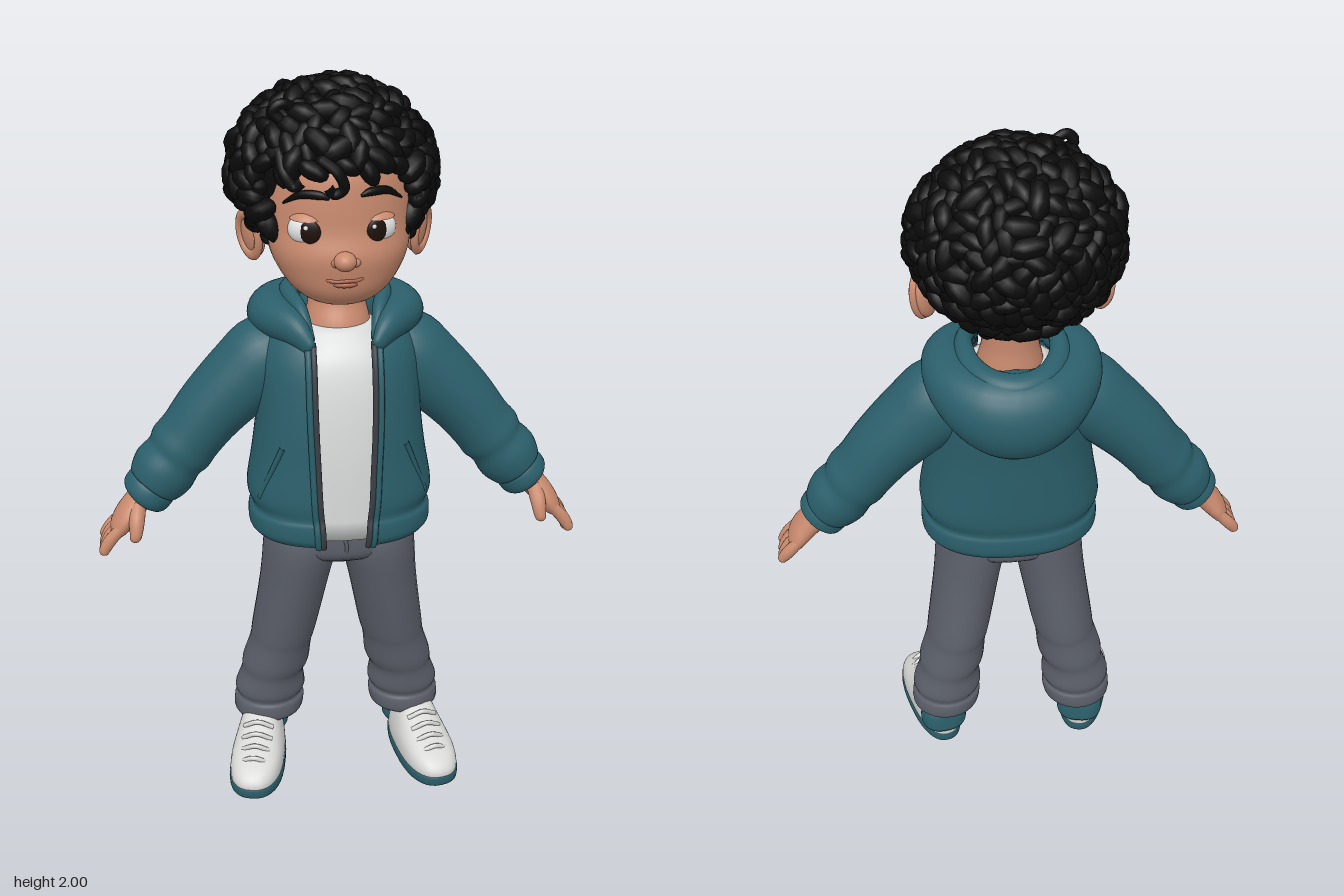
import * as THREE from 'three';
import { mergeGeometries } from 'three/addons/utils/BufferGeometryUtils.js';

const material = (name, color, side = THREE.FrontSide) => {
  const m = new THREE.MeshStandardMaterial({ color, side });
  m.name = name;
  return m;
};
const V = (x, y, z) => new THREE.Vector3(x, y, z);
const spow = (v, e) => Math.sign(v) * Math.pow(Math.abs(v), e);

// Skin through rings [x, y, z, ra, rb, gap]. Flat rings are horizontal (listed upwards);
// others stand square to the path, with ref giving the direction of rb.
function loft(rings, { flat = false, e = 1, seg = 28, sub = 4, ref = V(0, 0, 1) } = {}) {
  const curve = (a, b) => new THREE.CatmullRomCurve3(rings.map(r => V(r[a], r[a + 1], r[b] || 0)), false, 'catmullrom');
  const path = curve(0, 2), radii = curve(3, 5);
  const open = rings[0][5] !== undefined, n = (rings.length - 1) * sub, cols = open ? seg + 1 : seg;
  const pos = [], idx = [];
  for (let i = 0; i <= n; i++) {
    const c = path.getPoint(i / n), r = radii.getPoint(i / n);
    const t = path.getTangent(i / n);
    const u = flat ? V(1, 0, 0) : t.clone().cross(ref).normalize();
    const v = flat ? V(0, 0, 1) : u.clone().cross(t).normalize();
    const t0 = open ? Math.asin(Math.pow(Math.min(1, r.z / r.x), 1 / e)) : 0;
    for (let j = 0; j < cols; j++) {
      const a = t0 + (2 * Math.PI - 2 * t0) * j / seg;
      const p = c.clone().addScaledVector(u, r.x * spow(Math.sin(a), e)).addScaledVector(v, r.y * spow(Math.cos(a), e));
      pos.push(p.x, p.y, p.z);
    }
  }
  for (let i = 0; i < n; i++) for (let j = 0; j < seg; j++) {
    const k = (j + 1) % cols, a = i * cols + j, b = i * cols + k;
    idx.push(a, b, b + cols, a, b + cols, a + cols);
  }
  if (!open) for (const end of [0, n]) {
    const c = path.getPoint(end / n), m = pos.length / 3;
    pos.push(c.x, c.y, c.z);
    for (let j = 0; j < seg; j++) {
      const a = end * cols + j, b = end * cols + (j + 1) % cols;
      end ? idx.push(a, b, m) : idx.push(b, a, m);
    }
  }
  const g = new THREE.BufferGeometry();
  g.setAttribute('position', new THREE.Float32BufferAttribute(pos, 3));
  g.setIndex(idx);
  g.computeVertexNormals();
  return g;
}

export function createModel() {
  const model = new THREE.Group();
  model.name = 'boy';
  const skin = material('skin', 0xc98a6e), black = material('hair black', 0x0b0b0c);
  const teal = material('jacket teal', 0x2b5f6b, THREE.DoubleSide), white = material('shirt white', 0xdadcdc);
  const grey = material('trouser grey', 0x5c606a), shoeWhite = material('shoe white', 0xd8d9d6);
  const eyeWhite = material('eye white', 0xeeeeee), iris = material('iris brown', 0x1d100b);
  const lip = material('lip', 0xa9644f), metal = material('zip dark grey', 0x3a3e43);

  const add = (name, geo, mat, parent = model) => {
    const m = new THREE.Mesh(geo, mat);
    m.name = name;
    parent.add(m);
    return m;
  };
  const tube = (name, pts, r, mat, parent) => add(name,
    new THREE.TubeGeometry(new THREE.CatmullRomCurve3(pts.map(p => V(...p))), 24, r, 8), mat, parent);
  const ball = (name, p, s, mat, parent) => {
    const m = add(name, new THREE.SphereGeometry(1, 24, 16), mat, parent);
    m.position.set(...p);
    m.scale.set(...s);
    return m;
  };

  // Head and neck
  add('head', loft([[0, 1.43, .07, .03, .04], [0, 1.445, .07, .085, .095], [0, 1.48, .07, .13, .127],
    [0, 1.53, .055, .165, .155], [0, 1.58, .043, .184, .172], [0, 1.64, .02, .19, .18], [0, 1.72, .015, .185, .18],
    [0, 1.8, 0, .17, .18], [0, 1.88, -.02, .12, .13], [0, 1.92, -.02, .03, .03]], { flat: true, e: .95, seg: 40 }), skin);
  add('neck', loft([[0, 1.28, .02, .1, .1], [0, 1.36, .015, .088, .092], [0, 1.42, .005, .076, .076],
    [0, 1.5, 0, .075, .075]], { flat: true }), skin);
  ball('nose', [-.003, 1.576, .22], [.029, .025, .031], skin);
  tube('mouth', [[-.06, 1.527, .192], [-.03, 1.52, .208], [0, 1.522, .213], [.03, 1.522, .208], [.06, 1.532, .19]], .005, lip);
  ball('lowerLip', [0, 1.51, .2], [.032, .009, .014], lip);
  for (const s of [1, -1]) {
    ball('nostril', [s * .024, 1.57, .208], [.014, .013, .016], skin);
    const ear = new THREE.Group();
    ear.name = 'ear';
    ear.position.set(s * .218, 1.587, -.025);
    ear.rotation.set(-.15, -s * .55, -s * .18);
    model.add(ear);
    ball('earShell', [0, 0, 0], [.022, .064, .044], skin, ear);
    const rim = add('earRim', new THREE.TorusGeometry(.04, .011, 10, 28), skin, ear);
    rim.rotation.y = Math.PI / 2;
    rim.scale.set(1, 1.4, 1);
    rim.position.x = s * .013;

    const eye = new THREE.Group();
    eye.name = 'eye';
    eye.position.set(s * .088 - .003, 1.645, .152);
    eye.rotation.y = s * .25;
    model.add(eye);
    ball('eyeball', [0, 0, 0], [.051, .044, .037], eyeWhite, eye);
    ball('iris', [-s * .012, 0, .032], [.027, .03, .008], iris, eye);
    ball('eyeGlint', [-s * .012 - .01, .012, .039], [.006, .006, .003], eyeWhite, eye);
    const lid = add('upperLid', new THREE.SphereGeometry(1, 24, 8, 0, Math.PI * 2, 0, Math.PI * .29), skin, eye);
    lid.scale.set(.057, .05, .045);
    lid.rotation.x = .12;
    const brow = add('eyebrow', loft([[s * .04, 1.737, .195, .004, .004], [s * .065, 1.745, .188, .011, .009],
      [s * .11, 1.742, .165, .01, .009], [s * .15, 1.715, .133, .003, .004]], { seg: 10, ref: V(0, 0, 1) }), black);
    brow.position.y = s > 0 ? 0 : -.006;
  }

  // Curly hair: a scalp covered in small clumps above the hairline
  ball('scalp', [-.01, 1.765, -.05], [.235, .2, .2], black);
  let seed = 7;
  const rand = () => (seed = seed * 16807 % 2147483647) / 2147483647;
  const curls = [], dummy = new THREE.Object3D(), count = 400;
  const curl = (p, n, sx, sy, sz) => {
    dummy.position.copy(p);
    dummy.lookAt(p.clone().add(n));
    dummy.rotateZ(rand() * Math.PI);
    dummy.scale.set(sx, sy, sz);
    dummy.updateMatrix();
    curls.push(new THREE.SphereGeometry(1, 10, 7).applyMatrix4(dummy.matrix));
  };
  for (let i = 0; i < count; i++) {
    const h = 1 - 2 * (i + .5) / count, a = i * 2.39996, w = Math.sqrt(1 - h * h);
    const n = V(w * Math.cos(a), h, w * Math.sin(a));
    const p = V(n.x * .25 - .01, 1.742 + n.y * .225, n.z * .218 - .033);
    const line = p.z > .1 ? 1.785 : p.z > .03 ? 1.62 : p.z > -.075 ? 1.69 : 1.53;
    if (p.y < line) continue;
    const r = .026 + rand() * .012;
    curl(p.addScaledVector(n, (rand() - .5) * .018), n, r * 1.5, r * .85, r);
  }
  for (const s of [1, -1]) for (let k = 0; k < 5; k++)
    curl(V(s * (.183 + k * .006), 1.6 + k * .035, .05 + k * .012), V(s, 0, .3), .026, .02, .022);
  add('curlyHair', mergeGeometries(curls), black);
  tube('foreheadCurl', [[-.06, 1.83, .19], [-.02, 1.8, .215], [-.005, 1.76, .212], [-.03, 1.745, .205], [-.045, 1.765, .208]], .014, black);
  tube('sideCurl', [[-.16, 1.84, .13], [-.15, 1.79, .17], [-.125, 1.76, .178], [-.105, 1.775, .185]], .015, black);
  tube('looseCurl', [[-.09, 1.92, .08], [-.15, 1.95, .1], [-.17, 1.93, .1], [-.15, 1.91, .1]], .014, black);

  // Shirt
  add('shirt', loft([[0, .79, .05, .2, .172], [0, 1, .05, .2, .172], [0, 1.15, .045, .19, .165], [0, 1.25, .035, .18, .155],
    [0, 1.31, .03, .14, .132], [0, 1.36, .018, .09, .093]], { flat: true, e: .85 }), white);

  // Jacket body, open at the front, with a zip along both edges
  const body = [[0, .775, .055, .235, .178, .06], [0, .795, .055, .25, .188, .062], [0, .835, .055, .25, .188, .064],
    [0, .855, .055, .24, .183, .066], [0, .9, .052, .254, .19, .07], [0, 1, .047, .238, .19, .074], [0, 1.1, .043, .225, .19, .078],
    [0, 1.2, .033, .22, .187, .08], [0, 1.28, .025, .215, .175, .08], [0, 1.34, .015, .19, .155, .08], [0, 1.39, .005, .14, .125, .085]];
  add('jacketBody', loft(body, { flat: true, e: .85, seg: 56 }), teal);
  for (const s of [1, -1]) {
    const edge = body.slice(0, 10).map(([, y, cz, rx, rz, gap]) => {
      const sin = Math.pow(gap / rx, 1 / .85);
      return [s * gap, y, cz + rz * Math.pow(1 - sin * sin, .425)];
    });
    tube('zip', edge, .0085, metal);
    tube('zipFacing', edge.map(([x, y, z]) => [x + s * .014, y, z]), .009, teal);
    tube('pocketEdge', [[s * .165, 1.06, .192], [s * .195, .98, .172], [s * .225, .9, .15]], .008, teal);

    // Sleeve and cuff
    add('sleeve', loft([[s * .1, 1.285, 0, .07, .09], [s * .18, 1.255, 0, .115, .112], [s * .25, 1.2, 0, .108, .112],
      [s * .34, 1.11, .002, .097, .105], [s * .4, 1.035, .005, .09, .1], [s * .43, .998, .008, .092, .098],
      [s * .45, .972, .01, .084, .093], [s * .48, .935, .014, .09, .094], [s * .508, .9, .016, .078, .084],
      [s * .516, .89, .017, .066, .072]]), teal);
    add('cuff', loft([[s * .505, .903, .017, .06, .068], [s * .515, .89, .018, .072, .077], [s * .535, .865, .02, .07, .076],
      [s * .543, .855, .02, .055, .06]]), teal);

    // Hand
    add('palm', loft([[s * .52, .885, .02, .042, .046], [s * .555, .85, .025, .036, .05], [s * .588, .812, .034, .033, .064],
      [s * .612, .778, .035, .026, .062], [s * .622, .762, .035, .012, .05]]), skin);
    for (let k = 0; k < 4; k++) {
      const z = .083 - k * .032, d = [.01, 0, .003, .018][k];
      add('finger', loft([[s * .6, .795, z, .015, .015], [s * .632, .762, z, .018, .017], [s * .65, .73 + d / 2, z + .003, .016, .015],
        [s * .655, .71 + d, z + .003, .012, .012], [s * .656, .704 + d, z + .003, .003, .003]], { seg: 12 }), skin);
    }
    add('thumb', loft([[s * .555, .85, .055, .022, .022], [s * .56, .82, .09, .022, .022], [s * .563, .79, .108, .018, .018],
      [s * .567, .77, .113, .014, .014], [s * .568, .762, .114, .003, .003]], { seg: 12, ref: V(1, 0, 0) }), skin);
  }

  // Hood folded down behind the neck, and its rolled rim
  const wrap = half => [...half, ...half.slice(0, -1).reverse().map(([x, ...r]) => [-x, ...r])];
  add('hood', loft(wrap([[.085, 1.325, .172, .012, .02], [.125, 1.365, .118, .038, .045], [.17, 1.372, .02, .062, .058],
    [.155, 1.35, -.09, .075, .078], [.085, 1.318, -.155, .092, .11], [0, 1.3, -.17, .1, .125]]), { ref: V(0, 1, 0), sub: 6 }), teal);
  add('hoodRim', loft(wrap([[.085, 1.345, .155, .012, .014], [.105, 1.4, .085, .02, .026], [.125, 1.418, 0, .024, .026],
    [.115, 1.41, -.09, .03, .03], [.07, 1.4, -.16, .035, .034], [0, 1.395, -.185, .038, .035]]), { ref: V(0, 1, 0), sub: 6 }), teal);

  // Trousers
  add('trouserSeat', loft([[0, .685, .055, .1, .09], [0, .715, .058, .19, .13], [0, .76, .06, .213, .138], [0, .85, .055, .21, .14]],
    { flat: true, e: .9 }), grey);
  tube('trouserFly', [[0, .79, .196], [.006, .75, .194], [0, .715, .183]], .006, grey);
  for (const s of [1, -1]) {
    add('trouserLeg', loft([[.203, .125, -.01, .085, .085], [.203, .14, -.01, .1, .1], [.2, .175, -.01, .102, .1], [.2, .19, -.01, .094, .094],
      [.197, .215, -.008, .102, .102], [.19, .27, -.002, .09, .102], [.18, .31, .003, .096, .11], [.165, .38, .012, .089, .113],
      [.155, .43, .018, .092, .12], [.126, .6, .045, .097, .128], [.108, .72, .058, .105, .136], [.105, .8, .055, .1, .13]]
      .map(([x, ...r]) => [x * s, ...r]), { flat: true }), grey);

    // Shoe, built toe forward then turned outwards
    const shoe = new THREE.Group();
    shoe.name = 'shoe';
    shoe.position.set(s * .24, 0, .1);
    shoe.rotation.y = s * .2;
    model.add(shoe);
    const layers = (name, rings, mat) => {
      const g = loft(rings, { flat: true, e: .82, seg: 40, sub: 3 }), p = g.attributes.position;
      for (let i = 0; i < p.count; i++) p.setX(i, p.getX(i) * (1 + p.getZ(i) * .7));
      g.computeVertexNormals();
      return add(name, g, mat, shoe);
    };
    layers('sole', [[0, 0, 0, .068, .17], [0, .006, 0, .076, .182], [0, .03, 0, .077, .184], [0, .036, 0, .07, .178]], teal);
    layers('shoeUpper', [[0, .028, 0, .074, .182], [0, .05, -.002, .075, .182], [0, .075, -.012, .073, .167], [0, .1, -.038, .067, .136],
      [0, .125, -.065, .06, .105], [0, .15, -.085, .052, .08], [0, .16, -.085, .04, .06]], shoeWhite);
    layers('heelPatch', [[0, .055, -.137, .07, .052], [0, .07, -.137, .0765, .052], [0, .11, -.135, .073, .05], [0, .125, -.13, .06, .045]], teal);
    for (let k = 0; k < 4; k++) {
      const y = .094 + k * .018, z = .113 - k * .034;
      tube('lace', [[-.042, y - .016, z - .004], [0, y + .005, z + .006], [.042, y - .016, z - .004]], .007, shoeWhite, shoe);
    }
  }
  return model;
}
